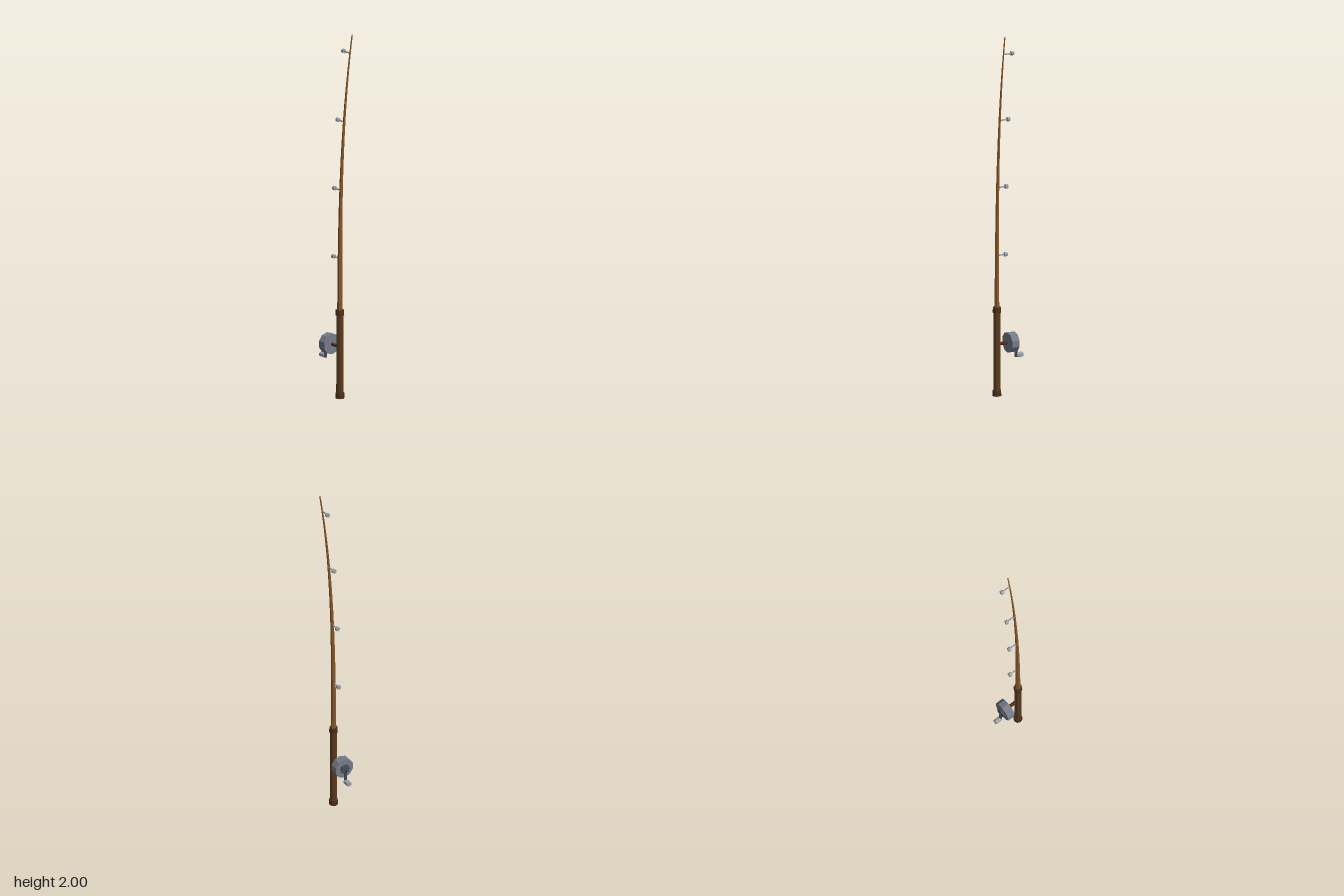
import * as THREE from 'three';

const AXIS_X = -0.022, AXIS_Z = 0.065;
const GRIP_TOP = 0.49, HEIGHT = 2, REEL_Y = 0.285;

// Sideways bend of the rod at height y
function bendX(y) {
  const t = Math.max(0, (y - GRIP_TOP) / (HEIGHT - GRIP_TOP));
  return AXIS_X + 0.086 * Math.pow(t, 2.8);
}

export function createModel() {
  const group = new THREE.Group();
  group.name = 'fishingRod';

  const mat = (name, color) => {
    const m = new THREE.MeshStandardMaterial({ color, flatShading: true });
    m.name = name;
    return m;
  };
  const wood = mat('wood', 0x8a5a2c);
  const grip = mat('gripBrown', 0x5a3a20);
  const collar = mat('collarBrown', 0x4c301c);
  const steel = mat('reelGrey', 0x757b87);
  const silver = mat('lightMetal', 0x9aa2a8);
  const dark = mat('darkMetal', 0x4a4d54);

  const add = (name, geo, material) => {
    const mesh = new THREE.Mesh(geo, material);
    mesh.name = name;
    group.add(mesh);
    return mesh;
  };

  // Upright prism between two heights
  const upright = (name, rTop, rBottom, y0, y1, sides, material, x = AXIS_X, z = AXIS_Z) => {
    const geo = new THREE.CylinderGeometry(rTop, rBottom, y1 - y0, sides);
    geo.translate(x, (y0 + y1) / 2, z);
    return add(name, geo, material);
  };

  // Prism lying along z between two depths, with a corner at the top
  const along = (name, r, x, y, z0, z1, sides, material) => {
    const geo = new THREE.CylinderGeometry(r, r, Math.abs(z1 - z0), sides);
    geo.rotateX(-Math.PI / 2);
    if (sides % 2 === 0) geo.rotateZ(0);
    geo.translate(x, y, (z0 + z1) / 2);
    return add(name, geo, material);
  };

  // Grip with end collars
  upright('grip', 0.0185, 0.0195, 0.01, GRIP_TOP - 0.01, 8, grip);
  upright('buttCap', 0.0235, 0.0245, 0, 0.03, 8, collar);
  upright('gripCollar', 0.0225, 0.0235, 0.46, GRIP_TOP, 8, collar);

  // Tapered rod bent sideways
  const rodGeo = new THREE.CylinderGeometry(0.0035, 0.0145, HEIGHT - GRIP_TOP, 6, 16);
  rodGeo.translate(0, (HEIGHT + GRIP_TOP) / 2, AXIS_Z);
  const pos = rodGeo.attributes.position;
  for (let i = 0; i < pos.count; i++) pos.setX(i, pos.getX(i) + bendX(pos.getY(i)));
  add('rod', rodGeo, wood);

  // Tip bead
  const tip = new THREE.OctahedronGeometry(0.0065);
  tip.translate(bendX(1.993), 1.993, AXIS_Z);
  add('tip', tip, silver);

  // Line guides on stems
  for (const y of [0.775, 1.152, 1.528, 1.902]) {
    const x = bendX(y);
    along('guideStem', 0.0042, x, y, AXIS_Z, 0.018, 5, silver);
    along('guide', 0.0123, x, y, 0.0205, 0.0045, 6, silver);
  }

  // Reel on its foot
  along('reelFoot', 0.0095, AXIS_X, REEL_Y, AXIS_Z, -0.002, 6, collar);
  along('reelDrum', 0.0565, AXIS_X, REEL_Y, 0.001, -0.043, 10, steel);
  along('reelHub', 0.027, AXIS_X, REEL_Y, -0.043, -0.055, 8, dark);

  // Crank arm and knob
  upright('crankArm', 0.0095, 0.0095, 0.2, REEL_Y + 0.005, 4, dark, AXIS_X, -0.0525);
  along('crankKnob', 0.0142, AXIS_X, 0.21, -0.055, -0.091, 6, silver);

  return group;
}
